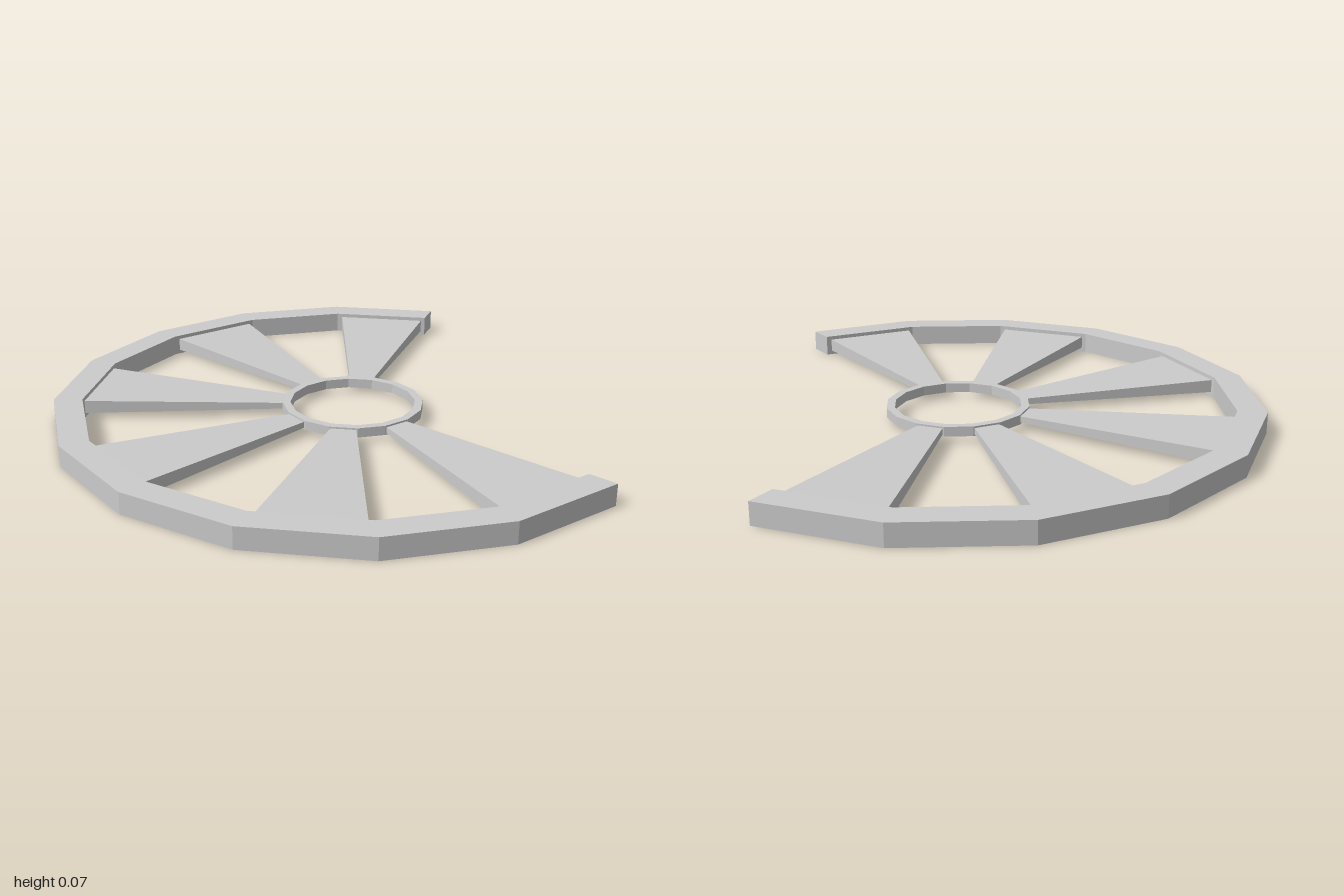
import * as THREE from 'three';

const SIDES = 16;
const STEP = (Math.PI * 2) / SIDES;
const CENTRE_X = 0.145;
const material = new THREE.MeshStandardMaterial({ color: 0xcccccc, flatShading: true });

const polar = (r, a) => new THREE.Vector2(r * Math.cos(a), r * Math.sin(a));

// Points on a regular polygon from corner i0 to corner i1
function arc(r, i0, i1) {
  const pts = [];
  for (let i = i0; i <= i1; i++) pts.push(polar(r, i * STEP));
  return pts;
}

// Extrudes a plan shape upward from y0 to y1
function slab(shape, y0, y1, name) {
  const geo = new THREE.ExtrudeGeometry(shape, { depth: y1 - y0, bevelEnabled: false });
  geo.rotateX(-Math.PI / 2).translate(0, y0, 0);
  const mesh = new THREE.Mesh(geo, material);
  mesh.name = name;
  return mesh;
}

// Wedge spoke: widens and thickens from the hub to the rim
function spoke(a0, a1) {
  const geo = new THREE.BoxGeometry(1, 1, 1);
  const p = geo.attributes.position;
  for (let i = 0; i < p.count; i++) {
    const outer = p.getX(i) > 0;
    const r = outer ? 0.91 : 0.225;
    const half = outer ? 0.022 : 0.01;
    const v = polar(r, p.getZ(i) > 0 ? a0 : a1);
    p.setXYZ(i, v.x, 0.036 + Math.sign(p.getY(i)) * half, -v.y);
  }
  geo.computeVertexNormals();
  const mesh = new THREE.Mesh(geo, material);
  mesh.name = 'spoke';
  return mesh;
}

export function createModel() {
  const model = new THREE.Group();
  model.name = 'openWheel';
  const wheel = new THREE.Group();
  wheel.name = 'wheel';
  wheel.position.x = CENTRE_X;
  model.add(wheel);

  // Open rim: 11 of the 16 polygon sides
  const rim = new THREE.Shape([...arc(1, 2, 13), ...arc(0.905, 2, 13).reverse()]);
  wheel.add(slab(rim, 0, 0.071, 'rim'));

  // Closed hub ring
  const hub = new THREE.Shape(arc(0.237, 0, SIDES - 1));
  hub.holes.push(new THREE.Path(arc(0.21, 0, SIDES - 1).reverse()));
  wheel.add(slab(hub, 0.02, 0.052, 'hubRing'));

  // Six spokes, one on every second rim side
  for (let k = 1; k <= 6; k++) {
    const a = THREE.MathUtils.degToRad(45 * k);
    wheel.add(spoke(a + 0.016, a + 0.373));
  }
  return model;
}
